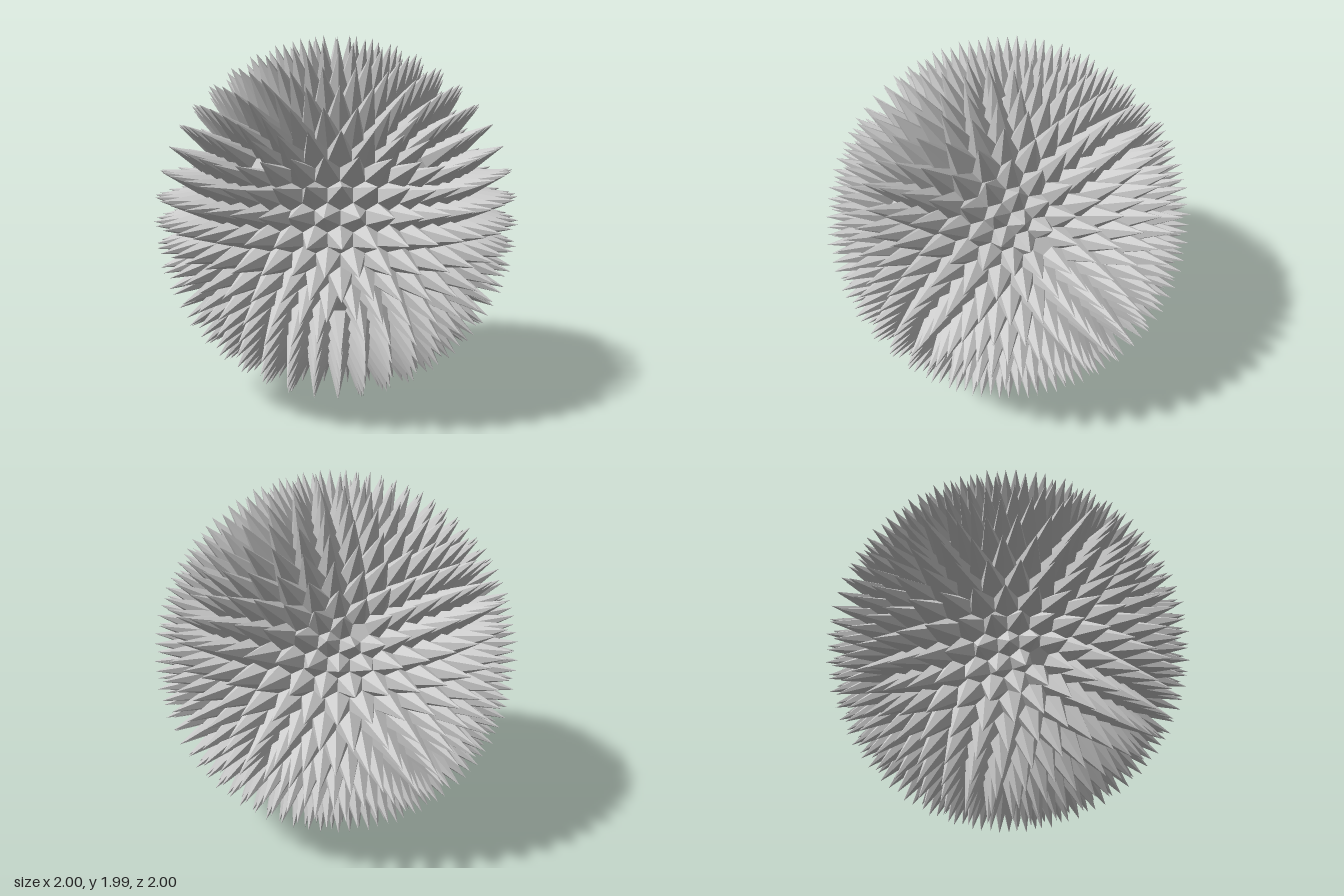
import * as THREE from 'three';

const CORE = 0.752; // radius of the shared spike bases
const TIP = 1;      // radius of the spike tips

// Cells around every vertex of a geodesic sphere: 630 hexagons and 12 pentagons.
function geodesicCells(splits) {
  const geo = new THREE.IcosahedronGeometry(1, splits - 1);
  geo.rotateZ(-Math.atan(2 / (1 + Math.sqrt(5)))); // one pentagon on the pole
  const pos = geo.attributes.position;
  const cells = new Map();
  for (let i = 0; i < pos.count; i += 3) {
    const tri = [0, 1, 2].map(k => new THREE.Vector3().fromBufferAttribute(pos, i + k));
    const centre = new THREE.Vector3().add(tri[0]).add(tri[1]).add(tri[2]).setLength(CORE);
    for (const v of tri) {
      const key = v.toArray().map(n => Math.round(n * 1000)).join();
      if (!cells.has(key)) cells.set(key, { dir: v.normalize(), ring: [] });
      cells.get(key).ring.push(centre);
    }
  }
  // Order each ring counter-clockwise as seen from outside
  for (const { dir, ring } of cells.values()) {
    const u = ring[0].clone().projectOnPlane(dir).normalize();
    const w = dir.clone().cross(u);
    ring.sort((a, b) => Math.atan2(a.dot(w), a.dot(u)) - Math.atan2(b.dot(w), b.dot(u)));
  }
  return [...cells.values()];
}

// Fan of triangles from an apex to each cell's ring
function fanGeometry(cells, apexOf) {
  const points = [];
  for (const cell of cells) {
    const apex = apexOf(cell), n = cell.ring.length;
    cell.ring.forEach((p, i) => points.push(apex, p, cell.ring[(i + 1) % n]));
  }
  const geo = new THREE.BufferGeometry().setFromPoints(points);
  geo.computeVertexNormals();
  return geo;
}

export function createModel() {
  const group = new THREE.Group();
  group.name = 'spikyBall';
  const material = new THREE.MeshStandardMaterial({ color: 0xcccccc, flatShading: true });
  const cells = geodesicCells(8);

  // Six-sided spikes on every hexagon
  const spikes = new THREE.Mesh(
    fanGeometry(cells.filter(c => c.ring.length === 6), c => c.dir.clone().multiplyScalar(TIP)),
    material);
  spikes.name = 'spikes';

  // Flat pentagons left between the spikes
  const pentagons = new THREE.Mesh(
    fanGeometry(cells.filter(c => c.ring.length === 5), c =>
      c.ring.reduce((s, p) => s.add(p), new THREE.Vector3()).divideScalar(5)),
    material);
  pentagons.name = 'flatPentagons';

  // Rest the lowest spikes on the ground
  spikes.geometry.computeBoundingBox();
  const lift = -spikes.geometry.boundingBox.min.y;
  for (const mesh of [spikes, pentagons]) {
    mesh.position.y = lift;
    group.add(mesh);
  }
  return group;
}
